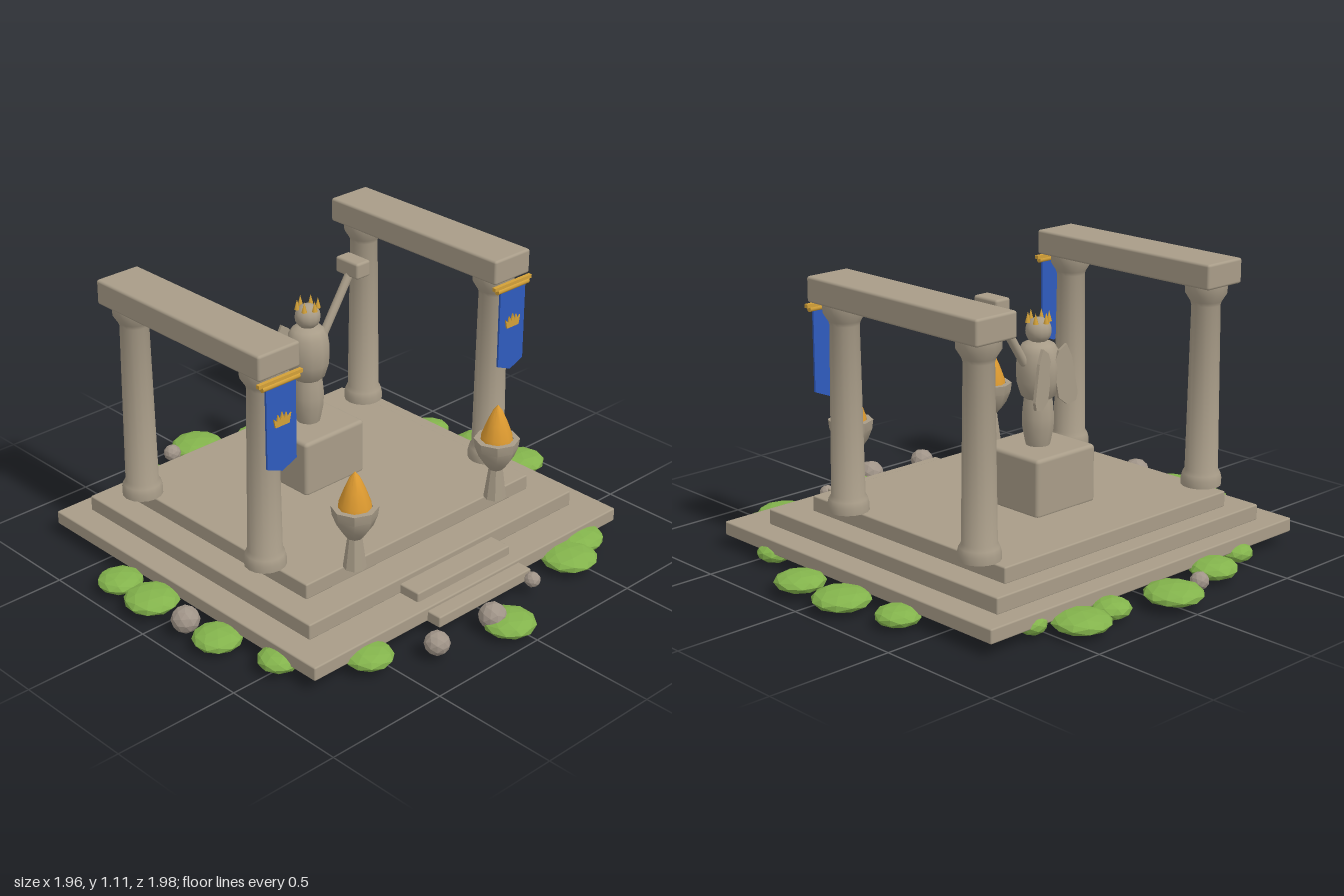
import * as THREE from 'three';
import { toCreasedNormals } from 'three/addons/utils/BufferGeometryUtils.js';
import { RoundedBoxGeometry } from 'three/addons/geometries/RoundedBoxGeometry.js';

export function createModel() {
  const root = new THREE.Group();
  root.name = 'statueShrine';
  const mat = (name, color, extra = {}) => {
    const m = new THREE.MeshStandardMaterial({ color, ...extra });
    m.name = name;
    return m;
  };
  const stone = mat('stone', 0xa89c88);
  const rockGrey = mat('rockGrey', 0xa09488, { flatShading: true });
  const leaf = mat('leafGreen', 0x83b34c, { flatShading: true });
  const blue = mat('bannerBlue', 0x2f5bbd);
  const gold = mat('gold', 0xd2a038);
  const flame = mat('flameOrange', 0xdd9a30);

  const add = (name, geo, material, x = 0, y = 0, z = 0, parent = root) => {
    const m = new THREE.Mesh(geo, material);
    m.name = name;
    m.position.set(x, y, z);
    parent.add(m);
    return m;
  };
  // Box given by its minimum and maximum corners
  const block = (name, x0, x1, y0, y1, z0, z1, r = 0.006, parent = root) =>
    add(name, new RoundedBoxGeometry(x1 - x0, y1 - y0, z1 - z0, 2, r), stone,
      (x0 + x1) / 2, (y0 + y1) / 2, (z0 + z1) / 2, parent);
  const lathe = (pts, sides) => toCreasedNormals(
    new THREE.LatheGeometry(pts.map(([r, y]) => new THREE.Vector2(r, y)), sides), 0.75);
  const plate = (pts, depth) => new THREE.ExtrudeGeometry(
    new THREE.Shape(pts.map(([x, y]) => new THREE.Vector2(x, y))), { depth, bevelEnabled: false });
  const group = (name, x = 0, y = 0, z = 0) => {
    const g = new THREE.Group();
    g.name = name;
    g.position.set(x, y, z);
    root.add(g);
    return g;
  };

  // Stepped platform
  block('lowerTier', -0.80, 0.785, 0.048, 0.103, -0.775, 0.695);
  block('middleTier', -0.695, 0.68, 0.1, 0.163, -0.695, 0.555);
  block('upperTier', -0.59, 0.572, 0.16, 0.223, -0.62, 0.425);
  block('upperStep', -0.25, 0.235, 0.09, 0.14, 0.50, 0.645);
  block('lowerStep', -0.25, 0.235, 0.045, 0.09, 0.60, 0.755);

  // Colonnades with lintels and banners
  const columnProfile = [[0, 0.223], [0.078, 0.223], [0.078, 0.25], [0.073, 0.27], [0.064, 0.285],
    [0.055, 0.93], [0.06, 0.945], [0.079, 0.975], [0.08, 1.015], [0, 1.015]];
  const columnGeo = lathe(columnProfile, 16);
  const bannerGeo = plate([[-0.068, 0.98], [-0.068, 0.668], [0, 0.64], [0.068, 0.668], [0.068, 0.98]], 0.008);
  const crownGeo = plate([[-0.032, 0.82], [0.032, 0.82], [0.04, 0.857], [0.025, 0.842], [0.019, 0.866],
    [0.009, 0.844], [0, 0.873], [-0.009, 0.844], [-0.019, 0.866], [-0.025, 0.842], [-0.04, 0.857]], 0.007);
  for (const [side, x] of [['left', 0.574], ['right', -0.593]]) {
    const g = group(side + 'Colonnade', x);
    add('frontColumn', columnGeo, stone, 0, 0, 0.21, g);
    add('backColumn', columnGeo, stone, 0, 0, -0.495, g);
    block('lintel', -0.095, 0.095, 1.01, 1.107, -0.585, 0.305, 0.01, g);
    add('banner', bannerGeo, blue, 0, 0, 0.302, g);
    add('bannerCrown', crownGeo, gold, 0, 0, 0.309, g);
    const rod = add('bannerRod', new THREE.CylinderGeometry(0.011, 0.011, 0.17, 8), gold, 0, 0.982, 0.306, g);
    rod.rotation.z = Math.PI / 2;
    add('bannerRail', new THREE.BoxGeometry(0.2, 0.014, 0.016), gold, 0, 0.996, 0.304, g);
  }

  // Braziers
  const brazierGeo = lathe([[0, 0.223], [0.043, 0.223], [0.027, 0.345], [0.043, 0.362], [0.066, 0.395],
    [0.082, 0.435], [0.087, 0.473], [0.064, 0.473], [0.055, 0.455], [0, 0.455]], 8);
  const flameGeo = lathe([[0, 0.46], [0.063, 0.462], [0.06, 0.485], [0.04, 0.54], [0.018, 0.59], [0, 0.613]], 12);
  for (const x of [0.358, -0.378]) {
    const g = group('brazier', x, 0, 0.45);
    add('brazierBowl', brazierGeo, stone, 0, 0, 0, g);
    add('brazierFlame', flameGeo, flame, 0, 0, 0, g);
  }

  // Statue on its pedestal
  const statue = group('statue', -0.01, 0, -0.193);
  block('pedestal', -0.152, 0.152, 0.215, 0.442, -0.152, 0.152, 0.015, statue);
  add('legs', lathe([[0, 0.44], [0.045, 0.44], [0.05, 0.46], [0.06, 0.51], [0.062, 0.55],
    [0.057, 0.6], [0.05, 0.65], [0, 0.66]], 12), stone, 0, 0, 0, statue);
  add('torso', lathe([[0, 0.605], [0.04, 0.61], [0.066, 0.635], [0.083, 0.69], [0.085, 0.745],
    [0.077, 0.8], [0.06, 0.828], [0.03, 0.84], [0, 0.84]], 12), stone, 0, 0, 0, statue);
  add('head', new THREE.SphereGeometry(0.05, 12, 10), stone, 0, 0.878, 0, statue);
  for (let i = 0; i < 6; i++) {
    const a = (i + 0.5) * Math.PI / 3;
    add('crownSpike', new THREE.ConeGeometry(0.011, 0.042, 6), gold,
      0.04 * Math.cos(a), 0.93, 0.04 * Math.sin(a), statue);
  }
  // Folded wings behind the torso
  for (const s of [1, -1]) {
    const pts = [[0.005, 0.76], [0.03, 0.81], [0.065, 0.832], [0.09, 0.78], [0.118, 0.64],
      [0.11, 0.61], [0.07, 0.6], [0.03, 0.63]];
    const outline = s > 0 ? pts : pts.map(([x, y]) => [-x, y]).reverse();
    const wing = add(s > 0 ? 'leftWing' : 'rightWing', plate(outline, 0.012), stone, 0, 0, -0.075, statue);
    wing.scale.x = 0.95;
    wing.rotation.y = s * 0.2;
  }
  // Raised arm holding a hammer
  const from = new THREE.Vector3(0.075, 0.77, 0), to = new THREE.Vector3(0.225, 1.0, 0);
  const arm = add('raisedArm', new THREE.CapsuleGeometry(0.017, from.distanceTo(to), 4, 10), stone, 0, 0, 0, statue);
  arm.position.lerpVectors(from, to, 0.5);
  arm.quaternion.setFromUnitVectors(new THREE.Vector3(0, 1, 0), to.clone().sub(from).normalize());
  block('hammerHead', 0.2, 0.27, 0.98, 1.045, -0.06, 0.06, 0.01, statue);

  // Bushes around the platform: x, z, radius
  const bushes = [[-0.5, -0.76, 0.062], [-0.3, -0.815, 0.093], [0, -0.888, 0.112], [0.24, -0.81, 0.075],
    [0.41, -0.83, 0.11], [0.56, -0.74, 0.055], [0.82, -0.345, 0.085], [0.87, -0.1, 0.11],
    [0.88, 0.12, 0.097], [0.745, 0.44, 0.07], [-0.875, -0.285, 0.088], [-0.875, -0.1, 0.105],
    [-0.855, 0.245, 0.093], [-0.79, 0.5, 0.08], [-0.555, 0.705, 0.092], [-0.03, 0.89, 0.1],
    [0.46, 0.745, 0.11], [0.58, 0.68, 0.105]];
  const bushGeo = new THREE.IcosahedronGeometry(1, 1);
  bushes.forEach(([x, z, r], i) => {
    const b = add('bush', bushGeo, leaf, x, 0.038 + 0.006 * (i % 3), z);
    b.scale.set(r, 0.036 + 0.002 * (i % 2), r);
    b.rotation.y = i * 1.3;
  });

  // Loose rocks: x, z, radius
  const rockGeo = new THREE.IcosahedronGeometry(1, 1);
  [[-0.13, -0.895, 0.036], [-0.885, 0.105, 0.054], [-0.34, 0.83, 0.048], [-0.07, 0.845, 0.054],
    [0.215, 0.78, 0.031]].forEach(([x, z, r], i) => {
    const k = add('rock', rockGeo, rockGrey, x, 0.062, z);
    k.scale.set(r, r * 0.95, r);
    k.rotation.y = i * 0.9;
  });

  return root;
}
